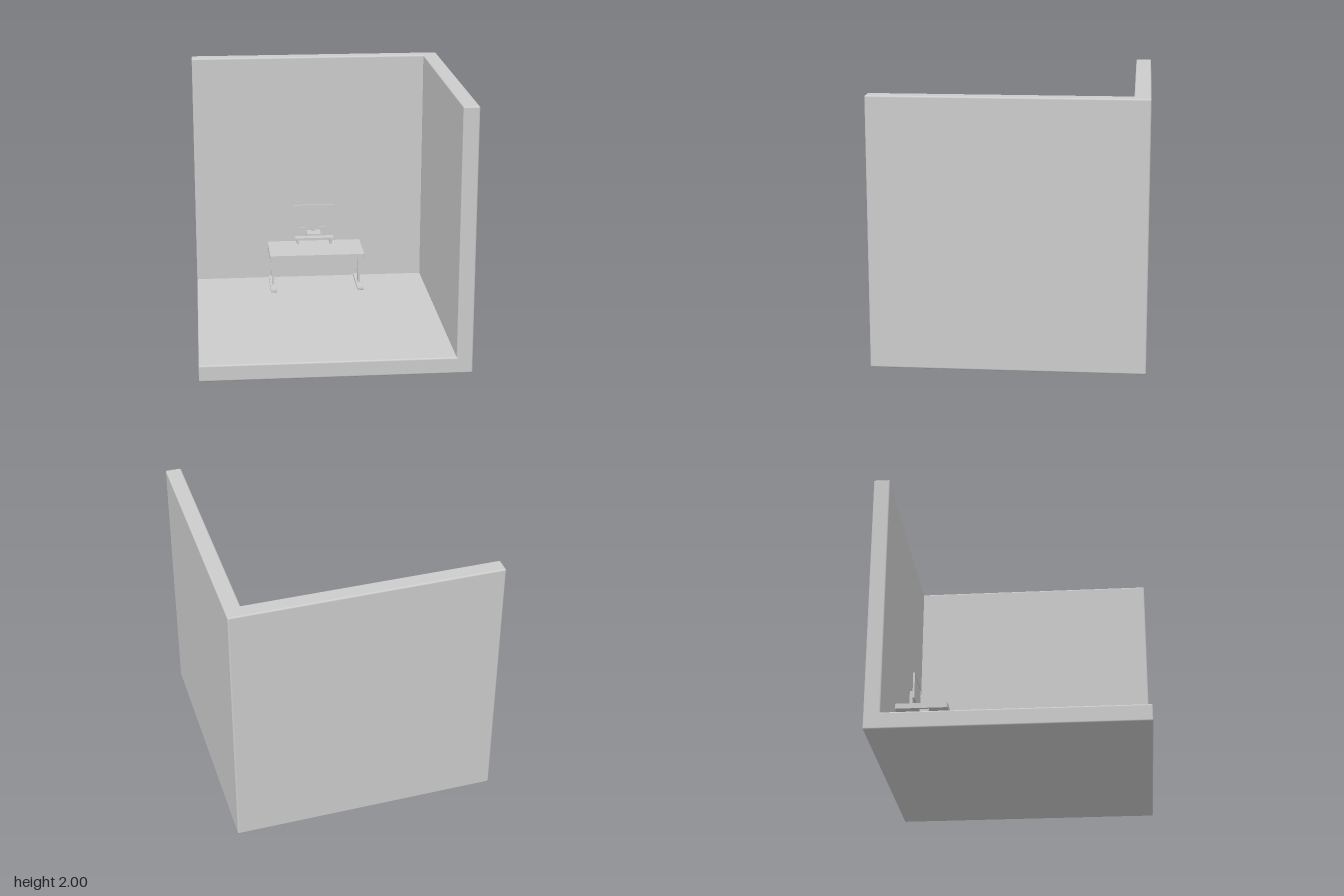
import * as THREE from 'three';
import { RoundedBoxGeometry } from 'three/addons/geometries/RoundedBoxGeometry.js';

const grey = new THREE.MeshStandardMaterial({ color: 0xcccccc });
grey.name = 'plain grey';

function add(parent, name, geometry) {
  const mesh = new THREE.Mesh(geometry, grey);
  mesh.name = name;
  parent.add(mesh);
  return mesh;
}

// Box given by its extents on each axis; radius > 0 softens the edges
function block(parent, name, [x0, x1], [y0, y1], [z0, z1], radius = 0) {
  const size = [x1 - x0, y1 - y0, z1 - z0];
  const geometry = radius
    ? new RoundedBoxGeometry(...size, 3, radius)
    : new THREE.BoxGeometry(...size);
  const mesh = add(parent, name, geometry);
  mesh.position.set((x0 + x1) / 2, (y0 + y1) / 2, (z0 + z1) / 2);
  return mesh;
}

function group(parent, name) {
  const g = new THREE.Group();
  g.name = name;
  parent.add(g);
  return g;
}

function rectPoints(x0, x1, y0, y1) {
  return [[x0, y0], [x1, y0], [x1, y1], [x0, y1]].map(p => new THREE.Vector2(...p));
}

export function createModel() {
  const model = new THREE.Group();
  model.name = 'deskRoom';

  // Room: floor, back wall and one side wall with softened edges
  const room = group(model, 'room');
  block(room, 'floor', [-1, 1], [0, 0.125], [-1, 1], 0.012);
  block(room, 'backWall', [-1, 1], [0, 2], [-1, -0.88], 0.012);
  block(room, 'sideWall', [0.88, 1], [0, 2], [-1, 1], 0.012);

  // Desk top with slightly rounded corners in plan
  const desk = group(model, 'desk');
  const x0 = -0.405, x1 = 0.365, z0 = -0.88, z1 = -0.49, r = 0.012;
  const plan = new THREE.Shape();
  plan.absarc(x1 - r, -z0 - r, r, 0, Math.PI / 2);
  plan.absarc(x0 + r, -z0 - r, r, Math.PI / 2, Math.PI);
  plan.absarc(x0 + r, -z1 + r, r, Math.PI, Math.PI * 1.5);
  plan.absarc(x1 - r, -z1 + r, r, Math.PI * 1.5, Math.PI * 2);
  const top = add(desk, 'deskTop',
    new THREE.ExtrudeGeometry(plan, { depth: 0.04, bevelEnabled: false, curveSegments: 4 }));
  top.rotation.x = -Math.PI / 2;
  top.position.y = 0.4;

  // Two telescopic legs on long feet
  for (const [side, x] of [['right', -0.375], ['left', 0.337]]) {
    const leg = group(desk, side + 'Leg');
    block(leg, 'upperColumn', [x - 0.011, x + 0.011], [0.225, 0.4], [-0.7, -0.63]);
    block(leg, 'lowerColumn', [x - 0.008, x + 0.008], [0.145, 0.225], [-0.695, -0.635]);
    block(leg, 'foot', [x - 0.025, x + 0.025], [0.124, 0.146], [-0.86, -0.5], 0.003);
  }

  // Low riser: a thin shelf flowing into two flared legs
  const riserShape = new THREE.Shape([
    [-0.178, 0.495], [-0.168, 0.475], [-0.166, 0.44], [-0.148, 0.44], [-0.148, 0.476],
    [-0.14, 0.485], [0.1, 0.485], [0.108, 0.476], [0.108, 0.44], [0.126, 0.44],
    [0.129, 0.475], [0.14, 0.495],
  ].map(p => new THREE.Vector2(...p)));
  const riser = add(model, 'monitorRiser',
    new THREE.ExtrudeGeometry(riserShape, { depth: 0.065, bevelEnabled: false }));
  riser.position.z = -0.84;

  // Monitor: bezel frame, recessed screen, back shell
  const monitor = group(model, 'monitor');
  const bezel = new THREE.Shape(rectPoints(-0.195, 0.14, 0.577, 0.783));
  bezel.holes.push(new THREE.Path(rectPoints(-0.183, 0.128, 0.592, 0.771)));
  const frame = add(monitor, 'screenFrame',
    new THREE.ExtrudeGeometry(bezel, { depth: 0.014, bevelEnabled: false }));
  frame.position.z = -0.784;
  block(monitor, 'screen', [-0.183, 0.128], [0.592, 0.771], [-0.783, -0.774]);

  // Stand: foot plate, upright neck and short arm to the panel
  block(monitor, 'standBase', [-0.085, 0.03], [0.53, 0.545], [-0.845, -0.73]);
  block(monitor, 'standNeck', [-0.04, -0.015], [0.545, 0.7], [-0.83, -0.808]);
  block(monitor, 'standArm', [-0.036, -0.019], [0.66, 0.69], [-0.808, -0.783]);

  return model;
}
